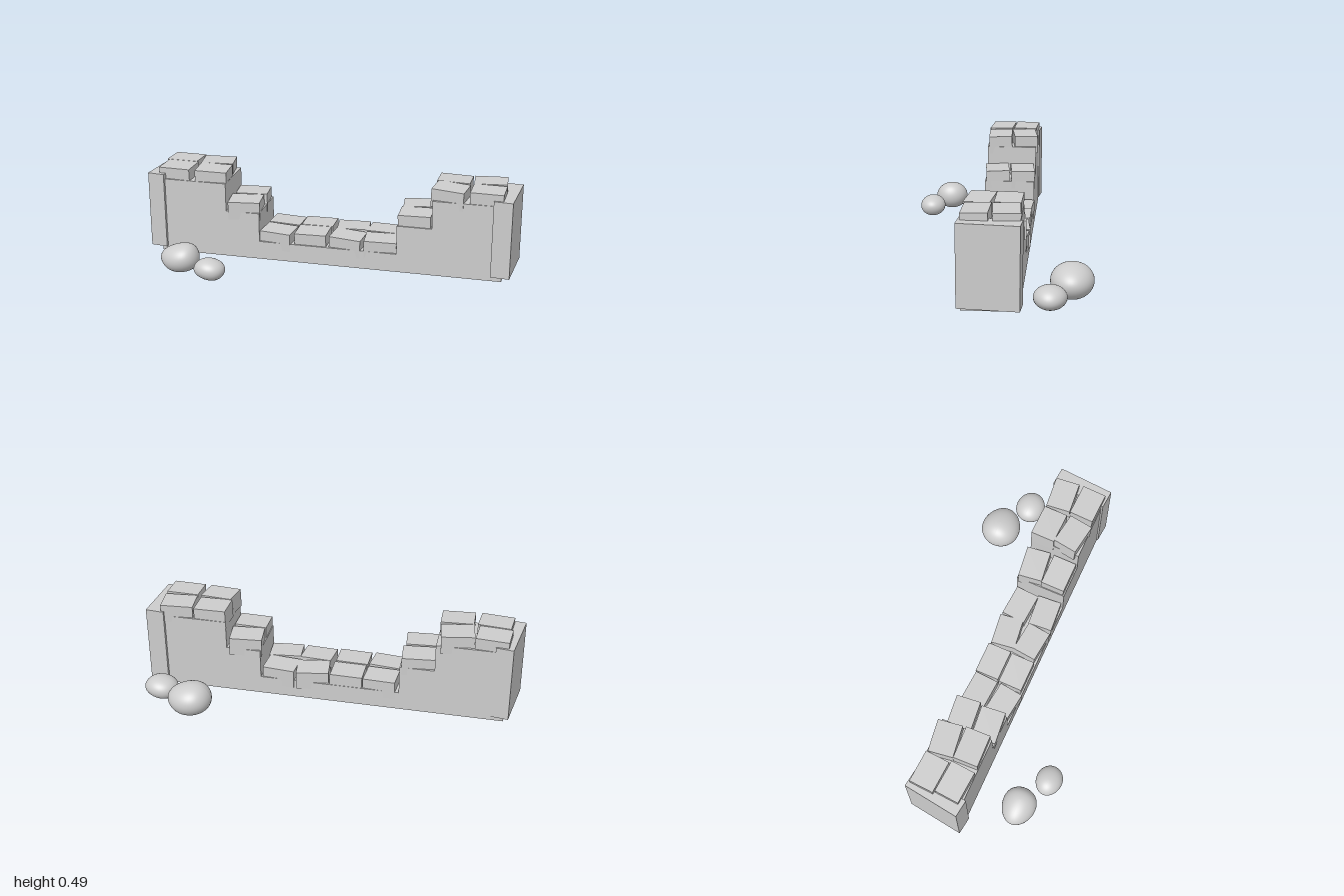
import * as THREE from 'three';

export function createModel() {
  const root = new THREE.Group();
  root.name = 'ruinedWall';
  const stone = new THREE.MeshStandardMaterial({ color: 0xcccccc });
  stone.name = 'light grey stone';

  function add(name, geo, x, y, z, rx = 0, ry = 0, rz = 0) {
    const mesh = new THREE.Mesh(geo, stone);
    mesh.name = name;
    mesh.position.set(x, y, z);
    mesh.rotation.set(rx, ry, rz);
    root.add(mesh);
  }

  // Stepped wall body, collapsed in the middle
  const outline = [
    [-0.935, 0.014], [0.935, 0.014], [0.935, 0.43], [0.562, 0.43], [0.562, 0.275], [0.377, 0.275],
    [0.377, 0.115], [-0.377, 0.115], [-0.377, 0.275], [-0.562, 0.275], [-0.562, 0.43], [-0.935, 0.43],
  ];
  const shape = new THREE.Shape(outline.map(([x, y]) => new THREE.Vector2(x, y)));
  add('wallBody', new THREE.ExtrudeGeometry(shape, { depth: 0.28, bevelEnabled: false }), 0, 0, -0.161);

  // Slightly twisted end posts
  add('rightEndPost', new THREE.BoxGeometry(0.093, 0.42, 0.303), -0.934, 0.249, -0.023, 0, -0.13, 0);
  add('leftEndPost', new THREE.BoxGeometry(0.1, 0.42, 0.305), 0.939, 0.249, -0.02, 0, -0.08, 0);

  // Two rows of loose capstones: x, z, yaw, roll; tops follow the steps
  const tops = [0.495, 0.493, 0.334, 0.175, 0.18, 0.176, 0.175, 0.339, 0.493, 0.496];
  const frontRow = [
    [-0.848, 0.045, -0.07, 0.015], [-0.65, 0.046, 0.04, -0.02], [-0.468, 0.052, 0.1, 0.01],
    [-0.283, 0.05, -0.12, -0.01], [-0.095, 0.045, 0, 0.02], [0.1, 0.048, -0.1, -0.03],
    [0.282, 0.048, 0.08, -0.02], [0.468, 0.046, 0, 0.02], [0.645, 0.046, -0.14, -0.03], [0.842, 0.05, -0.03, 0],
  ];
  const backRow = [
    [-0.852, -0.092, -0.06, 0.01], [-0.665, -0.092, 0.14, -0.02], [-0.468, -0.09, 0.1, 0],
    [-0.273, -0.094, -0.06, -0.02], [-0.09, -0.093, 0, 0.01], [0.1, -0.095, 0.13, -0.02],
    [0.276, -0.094, -0.07, 0.01], [0.465, -0.095, 0.12, 0.02], [0.648, -0.092, -0.02, -0.02], [0.838, -0.093, 0.09, 0.01],
  ];
  const cap = new THREE.BoxGeometry(0.174, 0.1, 0.132);
  [['frontCapstone', frontRow, 0.03], ['backCapstone', backRow, -0.01]].forEach(([name, row, pitch]) => {
    row.forEach(([x, z, yaw, roll], i) => {
      add(name + (i + 1), cap, x, tops[i] - 0.051, z, pitch, yaw, roll);
    });
  });

  // Smooth, egg-shaped boulders; lean and taper make each lopsided
  function boulder(name, x, y, z, rx, ry, rz, taper, lean) {
    const geo = new THREE.SphereGeometry(1, 40, 28);
    const p = geo.attributes.position;
    for (let i = 0; i < p.count; i++) {
      const a = p.getX(i), b = p.getY(i), c = p.getZ(i);
      const k = 1 + taper * a * (1 - 0.3 * b);
      p.setXYZ(i, (a + lean * b * (1 - a * a)) * rx, b * k * ry, c * k * rz);
    }
    geo.computeVertexNormals();
    add(name, geo, x, y, z);
  }
  boulder('frontBoulder', -0.748, 0.082, 0.35, 0.104, 0.078, 0.09, 0.13, 0.2);
  boulder('frontPebble', -0.553, 0.072, 0.442, 0.083, 0.057, 0.071, 0.06, -0.1);
  boulder('backBoulder', 0.702, 0.091, -0.404, 0.117, 0.087, 0.108, -0.08, -0.12);
  boulder('backPebble', 0.893, 0.075, -0.304, 0.09, 0.061, 0.082, -0.06, 0.1);

  return root;
}
